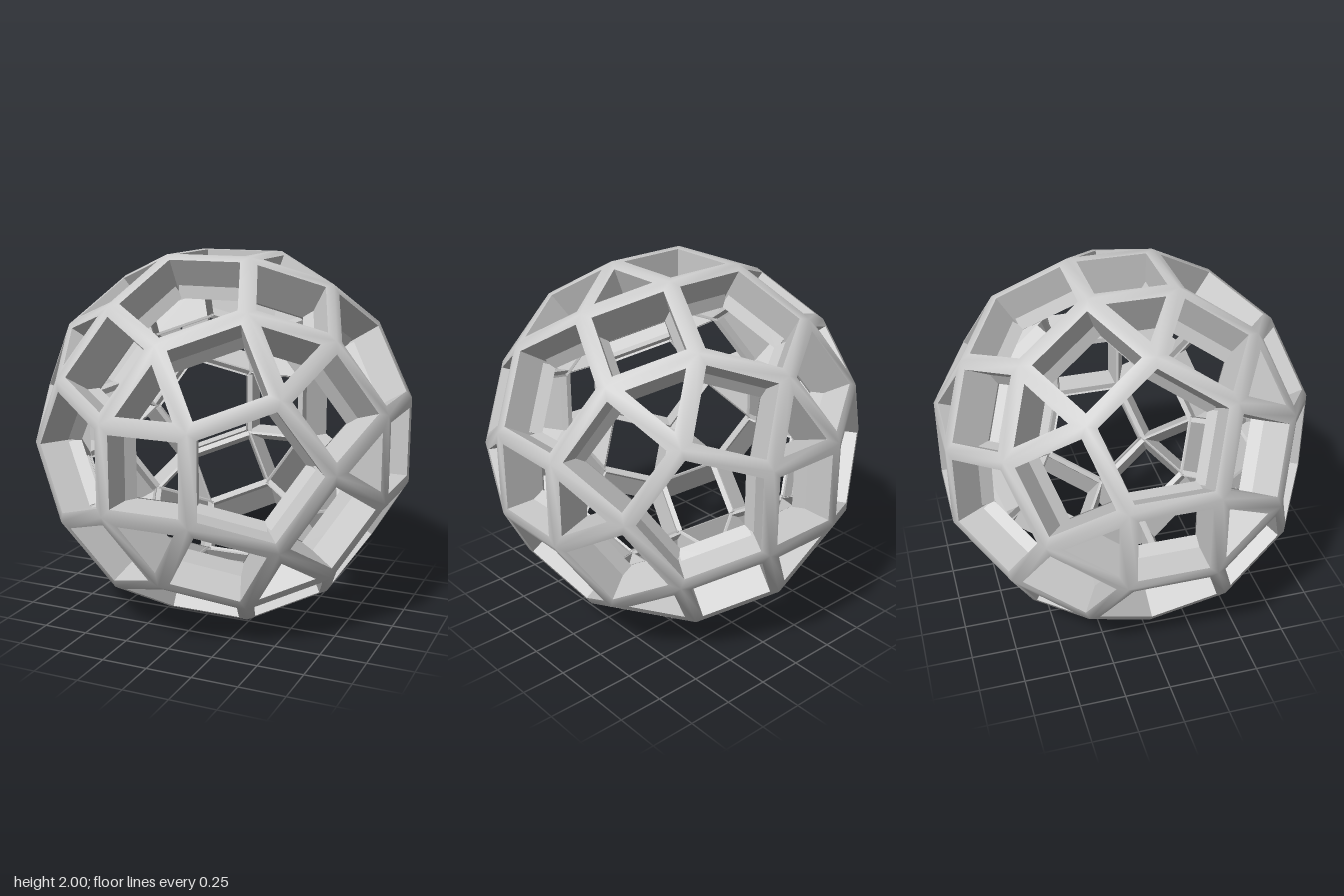
import * as THREE from 'three';

const PHI = (1 + Math.sqrt(5)) / 2;
const SCALE = 1 / PHI ** 3; // half extent becomes 1
const INSET = 0.047;        // strut width on each face
const DEPTH = 0.235;        // how far the window walls reach inward

// All sign changes and cyclic permutations of a coordinate triple
function family(a, b, c) {
  const out = [];
  const signs = (v) => (v === 0 ? [0] : [v, -v]);
  for (const x of signs(a)) for (const y of signs(b)) for (const z of signs(c)) {
    out.push(new THREE.Vector3(x, y, z), new THREE.Vector3(y, z, x), new THREE.Vector3(z, x, y));
  }
  return out;
}

// Face directions: pentagons, squares between two of them, triangles between three
function faceDirections() {
  const pentagons = family(1, 0, PHI).map((v) => v.normalize());
  const near = (a, b) => Math.abs(a.dot(b) - 1 / Math.sqrt(5)) < 0.01;
  const squares = [], triangles = [];
  pentagons.forEach((a, i) => pentagons.forEach((b, j) => {
    if (j <= i || !near(a, b)) return;
    squares.push(a.clone().add(b).normalize());
    pentagons.forEach((c, k) => {
      if (k > j && near(a, c) && near(b, c)) triangles.push(a.clone().add(b).add(c).normalize());
    });
  }));
  return { pentagons, squares, triangles };
}

// Corners of the face with normal n, counter-clockwise from outside
function faceCorners(vertices, n) {
  const top = Math.max(...vertices.map((v) => v.dot(n)));
  const corners = vertices.filter((v) => v.dot(n) > top - 1e-4);
  const centre = n.clone().multiplyScalar(top);
  const u = corners[0].clone().sub(centre).normalize();
  const w = n.clone().cross(u);
  const angle = (v) => Math.atan2(v.dot(w), v.dot(u));
  return { centre, corners: corners.sort((a, b) => angle(a) - angle(b)) };
}

function frameGeometry(vertices, directions) {
  const positions = [], normals = [];
  // Flat normal unless one normal per corner is given
  const triangle = (p, ns) => {
    const flat = p[1].clone().sub(p[0]).cross(p[2].clone().sub(p[0])).normalize();
    p.forEach((v, i) => {
      positions.push(...v.toArray());
      normals.push(...(ns ? ns[i] : flat).toArray());
    });
  };
  const quad = (p, ns) => {
    for (const ids of [[0, 1, 2], [0, 2, 3]]) triangle(ids.map((i) => p[i]), ns && ids.map((i) => ns[i]));
  };

  for (const n of directions) {
    const { centre, corners } = faceCorners(vertices, n);
    const count = corners.length;
    const apothem = corners[0].distanceTo(centre) * Math.cos(Math.PI / count);
    const hole = corners.map((v) => v.clone().lerp(centre, INSET / apothem));
    const holeIn = hole.map((v) => v.clone().addScaledVector(n, -DEPTH));
    const cornersIn = corners.map((v) => v.clone().multiplyScalar(1 - DEPTH / v.length()));
    for (let i = 0; i < count; i++) {
      const j = (i + 1) % count;
      // outer border, softly shaded over the edges
      quad([corners[i], corners[j], hole[j], hole[i]],
        [corners[i].clone().normalize(), corners[j].clone().normalize(), n, n]);
      // window wall
      quad([hole[i], hole[j], holeIn[j], holeIn[i]]);
      // inner border
      quad([cornersIn[i], holeIn[i], holeIn[j], cornersIn[j]]);
    }
  }
  const geometry = new THREE.BufferGeometry();
  geometry.setAttribute('position', new THREE.Float32BufferAttribute(positions, 3));
  geometry.setAttribute('normal', new THREE.Float32BufferAttribute(normals, 3));
  return geometry;
}

export function createModel() {
  const group = new THREE.Group();
  group.name = 'openPolyhedron';
  const material = new THREE.MeshStandardMaterial({ color: 0xcccccc, side: THREE.DoubleSide });
  const vertices = [
    ...family(1, 1, PHI ** 3),
    ...family(PHI ** 2, PHI, 2 * PHI),
    ...family(2 + PHI, 0, PHI ** 2),
  ].map((v) => v.multiplyScalar(SCALE));

  const { pentagons, squares, triangles } = faceDirections();
  const parts = { pentagonFrames: pentagons, squareFrames: squares, triangleFrames: triangles };
  for (const [name, directions] of Object.entries(parts)) {
    const mesh = new THREE.Mesh(frameGeometry(vertices, directions), material);
    mesh.name = name;
    mesh.position.y = 1;
    group.add(mesh);
  }
  return group;
}
